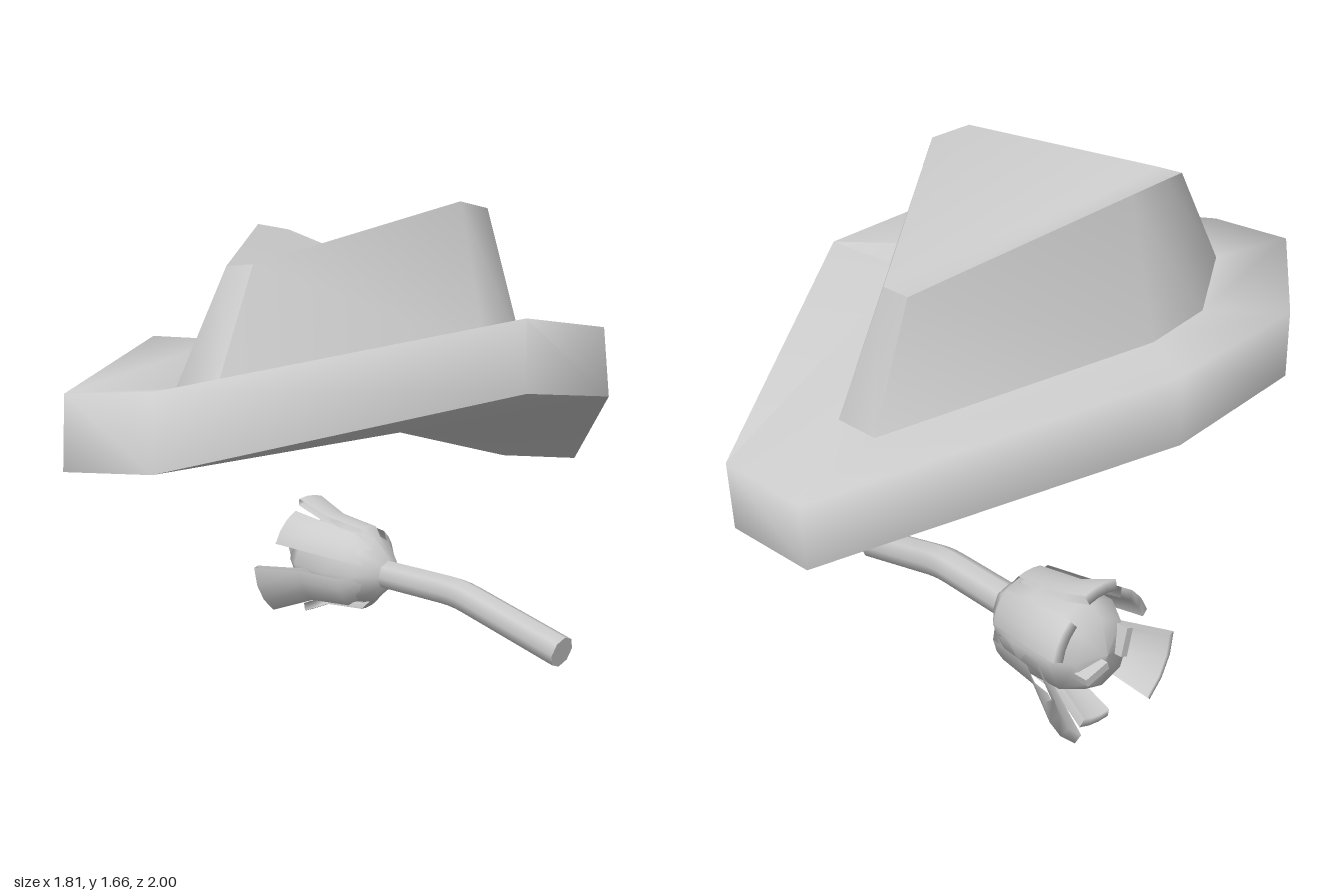
import * as THREE from 'three';
import { toCreasedNormals } from 'three/addons/utils/BufferGeometryUtils.js';

const material = new THREE.MeshStandardMaterial({ color: 0xcccccc });
const thin = new THREE.MeshStandardMaterial({ color: 0xcccccc, side: THREE.DoubleSide });

function part(name, geometry, mat = material) {
  const mesh = new THREE.Mesh(geometry, mat);
  mesh.name = name;
  return mesh;
}

// Joins eight-cornered rings into walls and adds extra cap triangles.
function loft(rings, caps, crease) {
  const n = rings[0].length;
  const index = [];
  for (let r = 0; r < rings.length - 1; r++) {
    for (let i = 0; i < n; i++) {
      const j = (i + 1) % n, a = r * n, b = a + n;
      index.push(a + i, b + i, b + j, a + i, b + j, a + j);
    }
  }
  caps.forEach(t => index.push(...t));
  const g = new THREE.BufferGeometry();
  g.setAttribute('position', new THREE.Float32BufferAttribute(rings.flat(2), 3));
  g.setIndex(index);
  return toCreasedNormals(g, crease);
}

// Corner rings run round the hat from the back left corner.
const brimBottom = [
  [0.65, 0.59, -0.96], [0.90, 0.62, -0.75], [0.75, 1.05, 0.27], [0.40, 1.13, 0.66],
  [-0.65, 0.99, 1.00], [-0.91, 0.95, 0.77], [-0.74, 0.97, -0.36], [-0.39, 0.88, -0.73]];
const brimTop = [
  [0.65, 0.80, -1.00], [0.90, 0.84, -0.79], [0.745, 1.265, 0.20], [0.40, 1.345, 0.63],
  [-0.65, 1.20, 0.96], [-0.90, 1.165, 0.75], [-0.74, 1.18, -0.38], [-0.39, 1.10, -0.76]];
const crownBase = [
  [0.49, 0.88, -0.69], [0.61, 0.90, -0.59], [0.49, 1.17, 0.19], [0.33, 1.22, 0.37],
  [-0.49, 1.15, 0.64], [-0.61, 1.14, 0.53], [-0.48, 1.17, -0.33], [-0.32, 1.12, -0.51]];
const crownRim = [
  [0.39, 1.28, -0.61], [0.47, 1.29, -0.53], [0.38, 1.64, 0.07], [0.27, 1.665, 0.20],
  [-0.38, 1.49, 0.43], [-0.46, 1.48, 0.36], [-0.36, 1.575, -0.34], [-0.25, 1.55, -0.47]];

function makeHat() {
  const hat = new THREE.Group();
  hat.name = 'hat';
  hat.add(part('brim', loft([brimBottom, brimTop, crownBase], [], 1.9)));
  // Folded underside
  hat.add(part('brimUnderside', loft([brimBottom],
    [[2, 3, 4], [2, 4, 5], [2, 5, 6], [1, 2, 6], [1, 6, 7], [0, 1, 7]], 0.6)));
  // Crown with a pinched valley along its top
  const valley = [[7, 6, 5], [0, 7, 5], [3, 2, 1], [4, 3, 1], [4, 1, 0], [5, 4, 0]];
  hat.add(part('crown', loft([crownBase, crownRim], valley.map(t => t.map(i => i + 8)), 0.9)));
  return hat;
}

// Closed profile swept through a short arc; the tip flares outwards.
function petal(angle, width, flare, length) {
  const outline = [[0.075, 0.03], [0.165, 0.12], [0.185, 0.30], [flare, length],
    [flare - 0.03, length + 0.01], [0.155, 0.31], [0.14, 0.12], [0.06, 0.04], [0.075, 0.03]];
  const phi = THREE.MathUtils.degToRad(angle + 90);
  const g = new THREE.LatheGeometry(outline.map(p => new THREE.Vector2(...p)), 3, phi - width / 2, width);
  return part('petal', g, thin);
}

function makeFlower() {
  const flower = new THREE.Group();
  flower.name = 'flower';

  // Bent stem: two tapered lengths with a joint
  const path = [[0.06, 0.235, -0.53], [0.35, 0.245, -0.20], [0.65, 0.145, 0.165]]
    .map(p => new THREE.Vector3(...p));
  const curve = new THREE.CurvePath();
  curve.add(new THREE.LineCurve3(path[0], path[1].clone().lerp(path[0], 0.12)));
  curve.add(new THREE.QuadraticBezierCurve3(path[1].clone().lerp(path[0], 0.12), path[1],
    path[1].clone().lerp(path[2], 0.12)));
  curve.add(new THREE.LineCurve3(path[1].clone().lerp(path[2], 0.12), path[2]));
  flower.add(part('stem', new THREE.TubeGeometry(curve, 24, 0.057, 8, false)));
  const end = part('stemEnd', new THREE.CircleGeometry(0.057, 8), thin);
  end.position.copy(path[2]);
  end.lookAt(path[2].clone().multiplyScalar(2).sub(path[1]));
  flower.add(end);

  // Head lies on its side: local y is its axis, local z points down
  const head = new THREE.Group();
  head.name = 'flowerHead';
  head.applyMatrix4(new THREE.Matrix4().makeBasis(
    new THREE.Vector3(-0.73, 0, 0.683), new THREE.Vector3(-0.683, 0, -0.73), new THREE.Vector3(0, -1, 0)));
  head.position.set(0.12, 0.24, -0.47);
  const bud = [[0, 0], [0.06, 0], [0.13, 0.08], [0.16, 0.2], [0.155, 0.36], [0.11, 0.43], [0, 0.455]];
  head.add(part('bud', new THREE.LatheGeometry(bud.map(p => new THREE.Vector2(...p)), 8)));
  [[45, 0.8, 0.205, 0.43], [95, 0.55, 0.235, 0.44], [150, 0.7, 0.19, 0.42],
    [213, 0.85, 0.27, 0.47], [265, 0.5, 0.24, 0.42], [333, 0.85, 0.27, 0.47]]
    .forEach(p => head.add(petal(...p)));

  // Small curled inner petals at the tip
  [[-0.06, 0.03, 0.3], [0.06, -0.03, 1.3]].forEach(([x, z, turn]) => {
    const curl = part('innerPetal', new THREE.BoxGeometry(0.09, 0.05, 0.025));
    curl.position.set(x, 0.45, z);
    curl.rotation.y = turn;
    head.add(curl);
  });
  flower.add(head);
  return flower;
}

export function createModel() {
  const model = new THREE.Group();
  model.name = 'hatAndFlower';
  model.add(makeHat(), makeFlower());
  return model;
}
